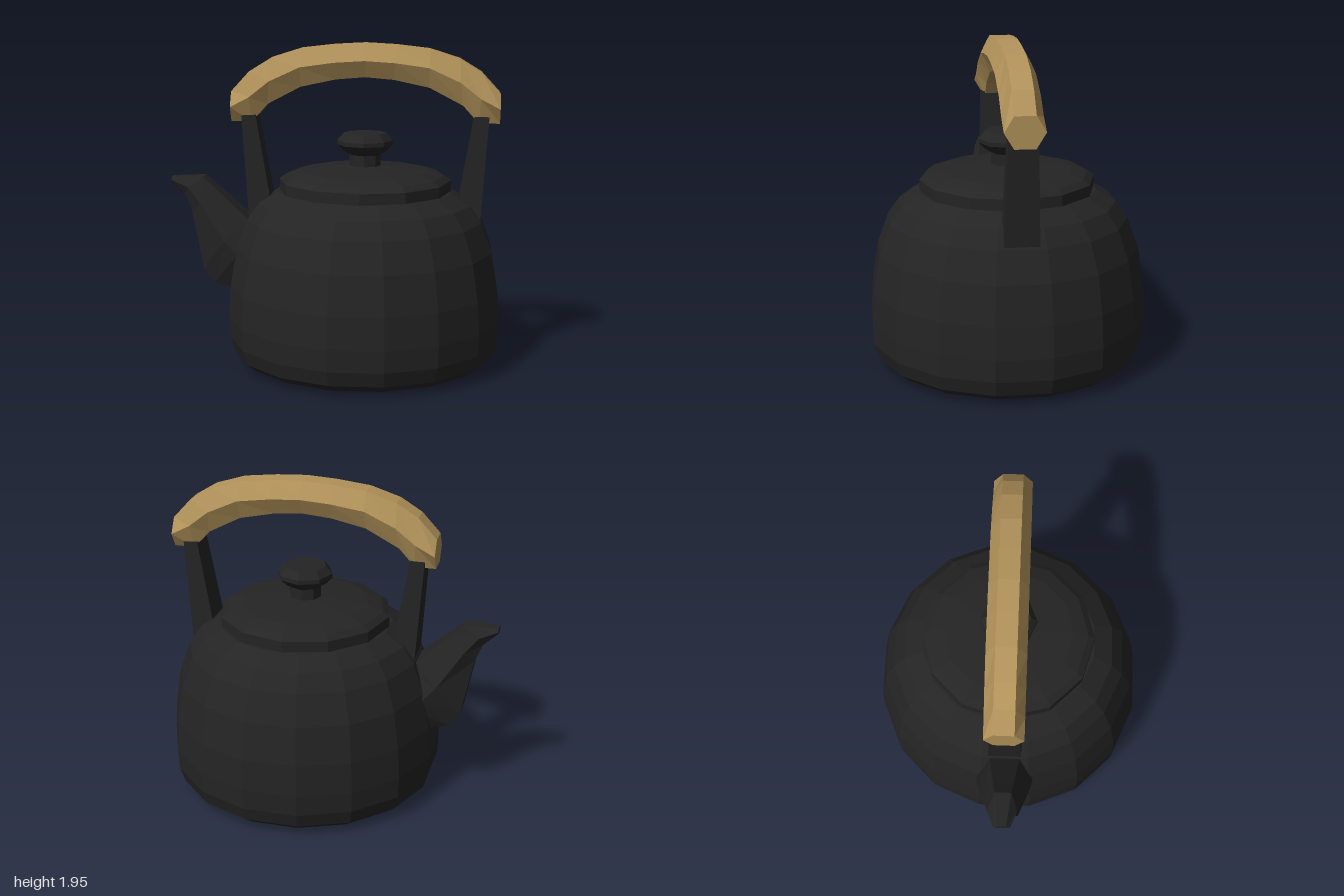
import * as THREE from 'three';

const CX = 0.185; // axis of the pot, offset because the spout sticks out at -x

export function createModel() {
  const iron = new THREE.MeshStandardMaterial({ color: 0x242424, flatShading: true });
  iron.name = 'blackIron';
  const wood = new THREE.MeshStandardMaterial({ color: 0xb2935a, flatShading: true });
  wood.name = 'paleWood';

  const kettle = new THREE.Group();
  kettle.name = 'kettle';

  const add = (name, geometry, material) => {
    const mesh = new THREE.Mesh(geometry, material);
    mesh.name = name;
    kettle.add(mesh);
    return mesh;
  };

  // Turned part: profile of [radius, y] from bottom to top
  const turned = (name, profile, sides, phi, scale = 1) => {
    const points = profile.map(([r, y]) => new THREE.Vector2(r * scale, y));
    add(name, new THREE.LatheGeometry(points, sides, phi), iron).position.x = CX;
  };

  // Body, sized by its flats, so widen to the corners
  turned('body', [
    [0, 0], [0.64, 0], [0.73, 0.026], [0.785, 0.07], [0.814, 0.16], [0.82, 0.29],
    [0.808, 0.48], [0.77, 0.71], [0.705, 0.89], [0.635, 0.99], [0.52, 1.06], [0, 1.06],
  ], 16, Math.PI / 16, 1 / Math.cos(Math.PI / 16));

  turned('lid', [
    [0, 1.05], [0.522, 1.05], [0.522, 1.125], [0.482, 1.155], [0.39, 1.182], [0.095, 1.212], [0, 1.212],
  ], 12, 0);

  turned('lidKnob', [
    [0.095, 1.2], [0.095, 1.28], [0.13, 1.3], [0.168, 1.34], [0.168, 1.365], [0.13, 1.41], [0, 1.41],
  ], 8, 0);

  // Spout, from the tip down into the body
  add('spout', hexLoft([
    { top: [-1, 1.13], mid: [-1, 1.112], low: [-1, 1.095], flat: 0.025, wide: 0.05 },
    { top: [-0.8, 1.135], mid: [-0.89, 1.075], low: [-0.915, 1.025], flat: 0.05, wide: 0.088 },
    { top: [-0.73, 1.07], mid: [-0.81, 0.98], low: [-0.87, 0.92], flat: 0.06, wide: 0.115 },
    { top: [-0.52, 0.88], mid: [-0.66, 0.76], low: [-0.8, 0.57], flat: 0.09, wide: 0.165 },
    { top: [-0.48, 0.82], mid: [-0.58, 0.67], low: [-0.735, 0.485], flat: 0.09, wide: 0.175 },
    { top: [-0.42, 0.77], mid: [-0.48, 0.6], low: [-0.6, 0.45], flat: 0.09, wide: 0.175 },
  ]), iron);

  // Wooden grip: half the arch, then mirrored about the pot axis
  const half = [
    [[-0.62, 1.66], [-0.62, 1.57], [-0.62, 1.48]],
    [[-0.51, 1.78], [-0.505, 1.63], [-0.495, 1.48]],
    [[-0.38, 1.86], [-0.385, 1.725], [-0.4, 1.585]],
    [[-0.2, 1.917], [-0.2, 1.81], [-0.2, 1.69]],
    [[0, 1.94], [0, 1.838], [0.01, 1.735]],
  ];
  const flip = ([x, y]) => [2 * CX - x, y];
  const arch = [
    ...half,
    [[CX, 1.95], [CX, 1.85], [CX, 1.75]],
    ...half.slice().reverse().map((s) => s.map(flip)),
  ];
  add('handleGrip', hexLoft(arch.map(([top, mid, low]) => ({ top, mid, low, flat: 0.06, wide: 0.115 }))), wood);

  // Tapered uprights holding the grip
  for (const side of [-1, 1]) {
    const geometry = new THREE.BoxGeometry(1, 1, 1);
    const p = geometry.attributes.position;
    for (let i = 0; i < p.count; i++) {
      const up = p.getY(i) > 0;
      const outer = p.getX(i) * side > 0;
      const reach = up ? (outer ? 0.742 : 0.655) : (outer ? 0.7 : 0.55);
      p.setXYZ(i, CX + side * reach, up ? 1.52 : 0.905, Math.sign(p.getZ(i)) * (up ? 0.083 : 0.1));
    }
    geometry.computeVertexNormals();
    add(side > 0 ? 'leftUpright' : 'rightUpright', geometry, iron);
  }

  return kettle;
}

// Skin over six-sided sections listed along +x, with capped ends
function hexLoft(sections) {
  const positions = [];
  for (const { top, mid, low, flat, wide } of sections) {
    positions.push(
      ...top, flat, ...mid, wide, ...low, flat,
      ...low, -flat, ...mid, -wide, ...top, -flat,
    );
  }
  const index = [];
  const last = (sections.length - 1) * 6;
  for (let i = 0; i < last; i += 6) {
    for (let j = 0; j < 6; j++) {
      const a = i + j;
      const b = i + ((j + 1) % 6);
      index.push(a, b, b + 6, a, b + 6, a + 6);
    }
  }
  for (let j = 1; j < 5; j++) {
    index.push(0, j + 1, j, last, last + j, last + j + 1);
  }
  const geometry = new THREE.BufferGeometry();
  geometry.setAttribute('position', new THREE.Float32BufferAttribute(positions, 3));
  geometry.setIndex(index);
  const faceted = geometry.toNonIndexed();
  faceted.computeVertexNormals();
  return faceted;
}
